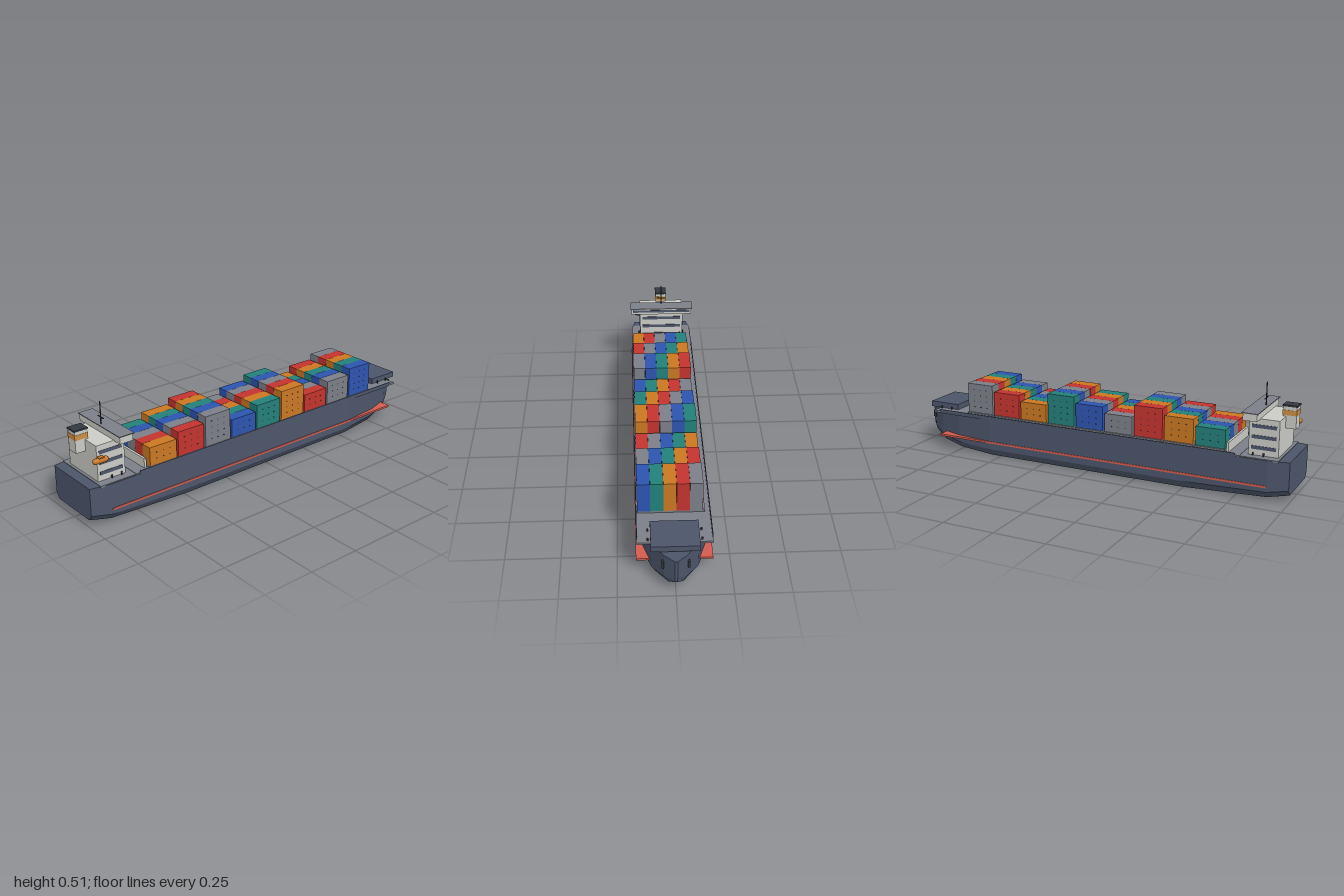
import * as THREE from 'three';

const mat = (name, color) => Object.assign(new THREE.MeshStandardMaterial({ color }), { name });

export function createModel() {
  const ship = new THREE.Group();
  ship.name = 'containerShip';
  const navy = mat('hull navy', 0x4c556a), grey = mat('deck grey', 0x7c7f87);
  const white = mat('house white', 0xcbccc6), dark = mat('dark metal', 0x33373e);
  const red = mat('container red', 0xc4342f), orange = mat('container orange', 0xca7722);
  const teal = mat('container teal', 0x23807a), blue = mat('container blue', 0x2c54b0);
  const coral = mat('waterline coral', 0xd25c4e), amber = mat('funnel amber', 0xcd8e42);

  const add = (name, geo, material, parent = ship) => {
    const m = new THREE.Mesh(geo, material);
    m.name = name;
    parent.add(m);
    return m;
  };
  // Box given by its limits on each axis
  const box = (name, material, x0, x1, y0, y1, z0, z1, parent) => {
    const m = add(name, new THREE.BoxGeometry(x1 - x0, y1 - y0, z1 - z0), material, parent);
    m.position.set((x0 + x1) / 2, (y0 + y1) / 2, (z0 + z1) / 2);
    return m;
  };

  // Hull lofted through stations: z, half beam, half bottom, keel y, chine y
  const stations = [
    [-1, 0.006, 0.004, 0.08, 0.1],
    [-0.96, 0.05, 0.032, 0.047, 0.078],
    [-0.88, 0.1, 0.075, 0.022, 0.055],
    [-0.75, 0.142, 0.115, 0.007, 0.042],
    [-0.55, 0.165, 0.14, 0, 0.036],
    [0.5, 0.165, 0.142, 0, 0.036],
    [0.9, 0.165, 0.142, 0.018, 0.048],
    [1, 0.147, 0.126, 0.037, 0.064],
  ];
  const top = 0.196;
  const rings = stations.map(([z, w, b, k, c]) =>
    [[b, k], [w, c], [w, top], [-w, top], [-w, c], [-b, k]].map(([x, y]) => [x, y, z]));
  const pos = [];
  for (let i = 0; i < rings.length - 1; i++) {
    for (let j = 0; j < 6; j++) {
      const n = (j + 1) % 6;
      const a = rings[i][j], b = rings[i][n], c = rings[i + 1][n], d = rings[i + 1][j];
      pos.push(...a, ...b, ...c, ...a, ...c, ...d);
    }
  }
  const bow = rings[0], stern = rings[rings.length - 1];
  for (let j = 1; j < 5; j++) {
    pos.push(...stern[0], ...stern[j], ...stern[j + 1]);
    pos.push(...bow[0], ...bow[j + 1], ...bow[j]);
  }
  const hullGeo = new THREE.BufferGeometry();
  hullGeo.setAttribute('position', new THREE.Float32BufferAttribute(pos, 3));
  hullGeo.computeVertexNormals();
  add('hull', hullGeo, navy);

  // Waterline belt, decks, forecastle
  box('waterlineBelt', coral, -0.168, 0.168, 0.068, 0.078, -0.85, 0.9);
  box('mainDeck', grey, -0.163, 0.163, 0.191, 0.201, -0.885, 0.77);
  box('sternDeck', grey, -0.16, 0.16, 0.191, 0.199, 0.77, 0.95);
  box('forecastle', navy, -0.105, 0.105, 0.201, 0.229, -0.943, -0.778);
  for (const s of [-1, 1]) {
    const x = s * 0.163;
    box('bulwark', navy, x - 0.002, x + 0.002, 0.19, 0.21, -0.85, 0.75);
    box('anchor', dark, s * 0.055 - 0.005, s * 0.055 + 0.005, 0.13, 0.165, -0.967, -0.952);
    for (const z of [-0.87, -0.81, 0.82, 0.87]) {
      const post = add('bollard', new THREE.CylinderGeometry(0.004, 0.004, 0.014, 8), dark);
      post.position.set(s * (z < 0 ? 0.116 : 0.123), 0.206, z);
    }
  }

  // Container bays: five stacks each, stepping in height from bay to bay
  const palette = [grey, red, orange, teal, blue];
  const cargo = new THREE.Group();
  cargo.name = 'cargo';
  ship.add(cargo);
  const pitch = 0.058, x0 = -0.131, tier = 0.03, base = 0.21;
  for (let bay = 0; bay < 9; bay++) {
    const z = -0.62 + bay * 0.155, half = 0.0725;
    const tiers = 5 - (bay % 3);
    box('hatchCover', grey, -0.14, 0.158, 0.2, base, z - half, z + half, cargo);
    for (let col = 0; col < 5; col++) {
      const x = x0 + col * pitch;
      box('containerStack', palette[(bay + col) % 5], x, x + pitch - 0.0006,
        base, base + tiers * tier, z - half, z + half, cargo);
    }
    // Dark lashing points on the outer sides
    for (let t = 1; t < tiers; t++) {
      const y = base + t * tier;
      for (const dz of [-0.036, 0, 0.036]) {
        box('lashingPoint', dark, x0 - 0.001, x0 + 5 * pitch + 0.0004,
          y - 0.002, y + 0.002, z + dz - 0.003, z + dz + 0.003, cargo);
      }
    }
  }

  // Breakwater wall behind the cargo
  box('breakwater', white, -0.14, 0.14, 0.2, 0.247, 0.701, 0.712);

  // Accommodation block with window bands
  const house = new THREE.Group();
  house.name = 'deckhouse';
  ship.add(house);
  box('accommodation', white, -0.117, 0.117, 0.196, 0.37, 0.797, 0.937, house);
  for (const y of [0.235, 0.285, 0.335]) {
    box('forwardWindows', navy, -0.105, 0.105, y - 0.008, y + 0.008, 0.795, 0.798, house);
    for (const s of [-1, 1]) {
      const x = s * 0.1175;
      box('sideWindows', navy, x - 0.0015, x + 0.0015, y - 0.008, y + 0.008, 0.81, 0.925, house);
    }
  }

  // Bridge with wings
  box('bridge', white, -0.164, 0.164, 0.367, 0.4, 0.78, 0.846, house);
  box('bridgeWindows', navy, -0.155, 0.155, 0.38, 0.393, 0.778, 0.781, house);
  box('bridgeRoof', grey, -0.169, 0.169, 0.4, 0.404, 0.774, 0.85, house);

  // Mast
  const mast = add('mast', new THREE.CylinderGeometry(0.0025, 0.003, 0.11, 8), dark, house);
  mast.position.set(0, 0.457, 0.835);
  box('mastYard', dark, -0.023, 0.023, 0.435, 0.439, 0.833, 0.837, house);

  // Funnel
  box('funnel', white, -0.028, 0.028, 0.315, 0.416, 0.922, 0.985, house);
  box('funnelBand', amber, -0.0295, 0.0295, 0.376, 0.4, 0.9205, 0.9865, house);
  box('funnelCap', dark, -0.03, 0.03, 0.416, 0.423, 0.919, 0.988, house);

  // Lifeboat on the left side with its davits
  const boat = add('lifeboat', new THREE.CapsuleGeometry(0.014, 0.05, 3, 8), orange, house);
  boat.rotation.x = Math.PI / 2;
  boat.position.set(0.136, 0.309, 0.93);
  box('lifeboatCanopy', orange, 0.127, 0.145, 0.317, 0.325, 0.915, 0.942, house);
  for (const z of [0.905, 0.93]) {
    box('davit', dark, 0.115, 0.137, 0.293, 0.297, z - 0.002, z + 0.002, house);
  }
  return ship;
}
